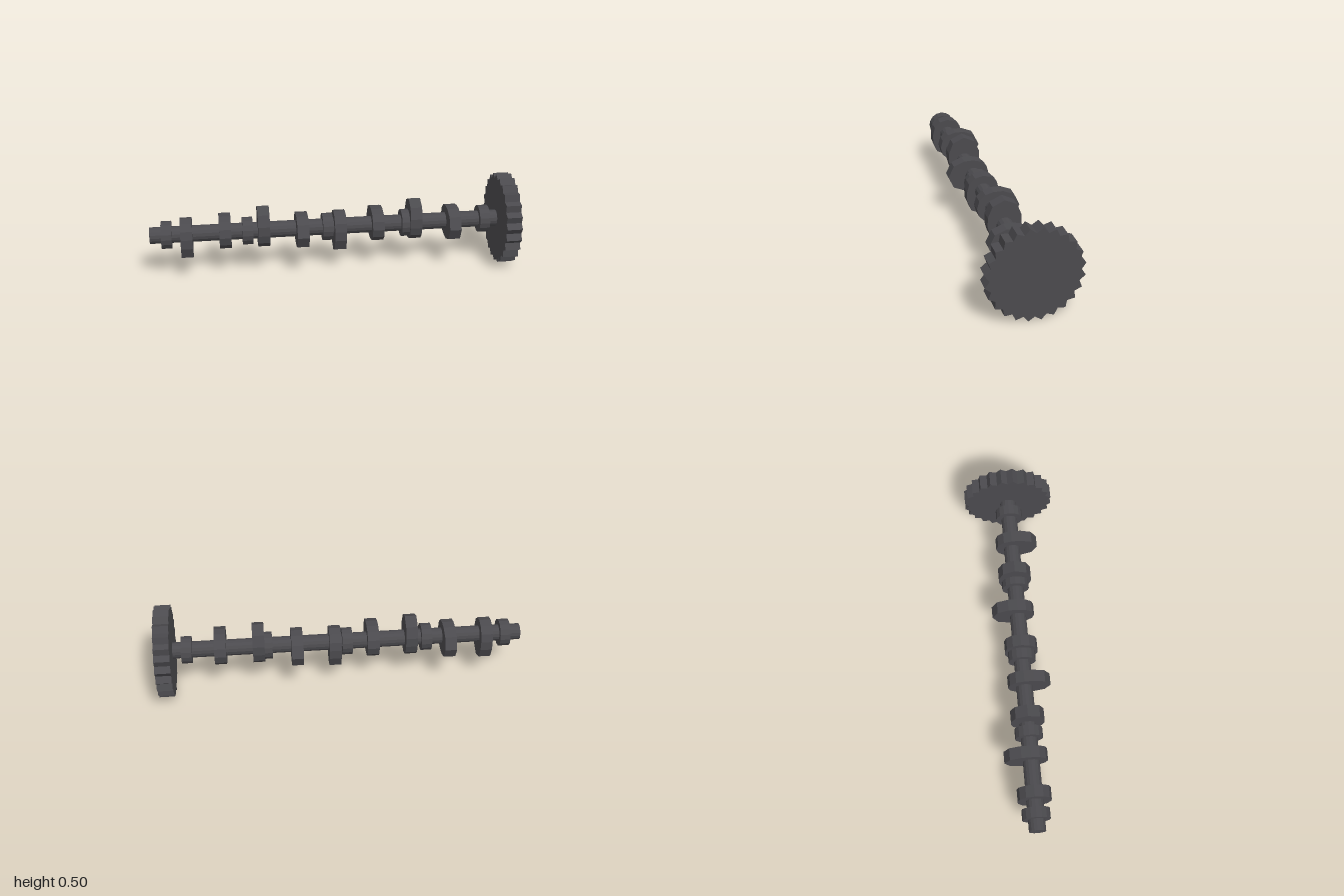
import * as THREE from 'three';

const AXIS_Y = 0.248;

export function createModel() {
  const group = new THREE.Group();
  const steel = new THREE.MeshStandardMaterial({ color: 0x4b4a4e, flatShading: true });
  steel.name = 'dark steel';

  const add = (name, geometry, x) => {
    const mesh = new THREE.Mesh(geometry, steel);
    mesh.name = name;
    mesh.position.set(x, AXIS_Y, 0);
    group.add(mesh);
  };

  // Round section lying along x
  const rod = (radius, length) =>
    new THREE.CylinderGeometry(radius, radius, length, 16).rotateZ(Math.PI / 2);

  // Plate along x, centred, outlined by radius(angle) at evenly spaced angles
  const plate = (sides, radius, width) => {
    const points = [];
    for (let i = 0; i < sides; i++) {
      const a = (i / sides) * Math.PI * 2;
      points.push(new THREE.Vector2(Math.cos(a), Math.sin(a)).multiplyScalar(radius(i, a)));
    }
    return new THREE.ExtrudeGeometry(new THREE.Shape(points), { depth: width, bevelEnabled: false })
      .translate(0, 0, -width / 2)
      .rotateY(Math.PI / 2);
  };

  // Shaft
  add('shaft', rod(0.045, 1.93), -0.035);

  // Bearing journals
  for (let i = 0; i < 5; i++) add(`journal${i + 1}`, rod(0.075, 0.056), -0.91 + i * 0.4375);

  // Cam lobes, each turned a quarter further: down, back, up, front
  for (let i = 0; i < 8; i++) {
    const nose = (i - 1) * Math.PI / 2;
    const profile = (_, a) => 0.09 + 0.053 * Math.max(0, Math.cos(a - nose)) ** 2;
    add(`cam${i + 1}`, plate(12, profile, 0.064), -0.803 + i * 0.2087);
  }

  // Toothed drive wheel: 24 pointed teeth
  add('driveGear', plate(48, (i) => (i % 2 ? 0.25 : 0.225), 0.084), 0.958);

  return group;
}
